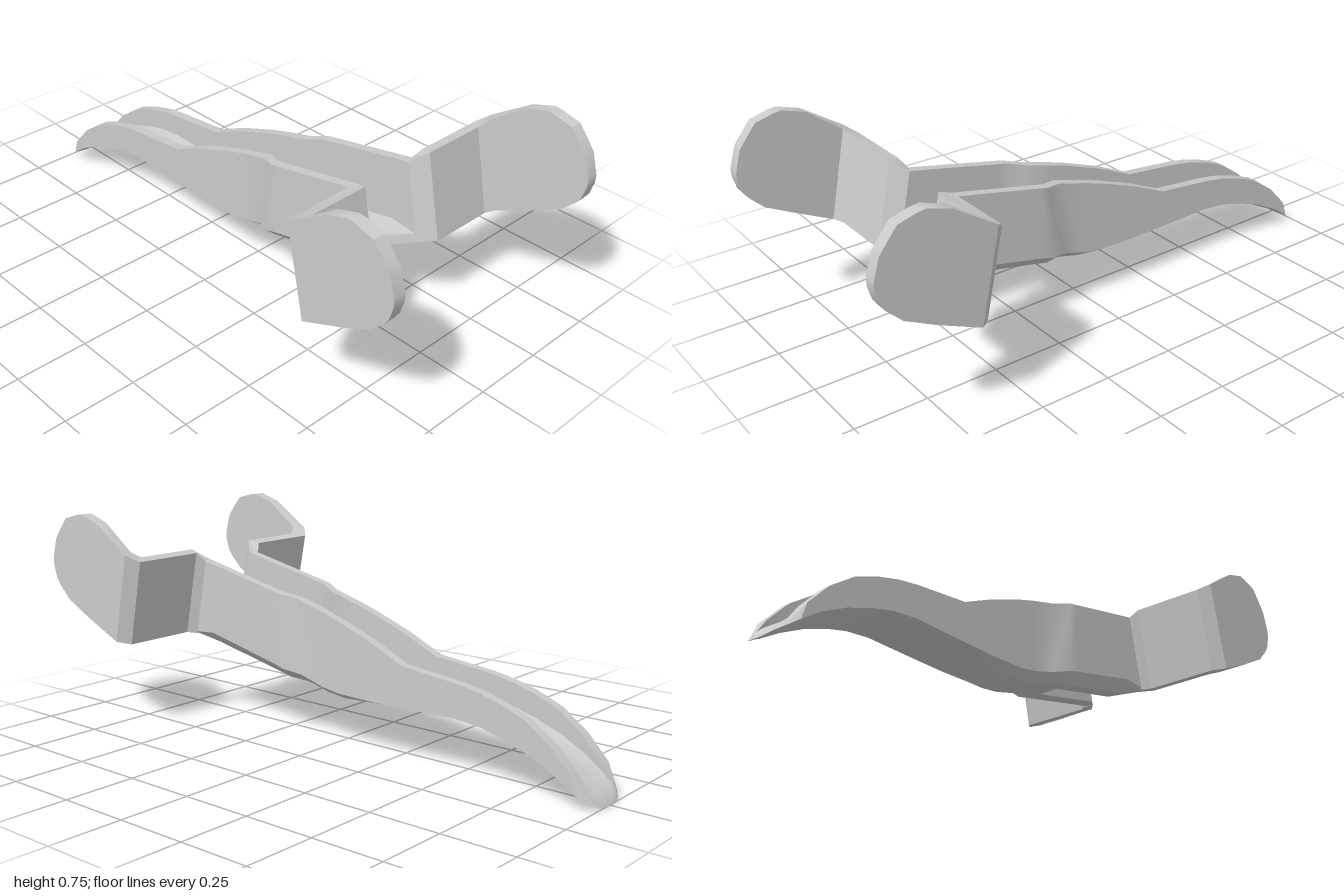
import * as THREE from 'three';
import { toCreasedNormals } from 'three/addons/utils/BufferGeometryUtils.js';

// Tilted plane of the fork: u runs forward along the slope, v is perpendicular to it.
const tilt = (u, v) => [u * 0.98 - v * 0.2, u * 0.2 + v * 0.98]; // -> [z, y]

// Skins a list of equal-length closed rings; side = -1 mirrors across x = 0.
function loft(rings, side, name, capEnd) {
  const n = rings[0].length, pos = [];
  const tri = (a, b, c) => {
    const ab = new THREE.Vector3().subVectors(b, a);
    const ac = new THREE.Vector3().subVectors(c, a);
    if (ab.cross(ac).length() < 1e-8) return;
    for (const p of side > 0 ? [a, b, c] : [a, c, b]) pos.push(p.x * side, p.y, p.z);
  };
  for (let i = 0; i < rings.length - 1; i++) {
    for (let j = 0; j < n; j++) {
      const k = (j + 1) % n;
      const a = rings[i][j], b = rings[i][k], c = rings[i + 1][k], d = rings[i + 1][j];
      if (a.x === 0 && b.x === 0 && c.x === 0 && d.x === 0) continue; // open on the centre line
      tri(a, b, c);
      tri(a, c, d);
    }
  }
  const f = n - 2, first = rings[0], last = rings[rings.length - 1];
  for (let j = 1; j < n - 1; j++) {
    const p = (f + j) % n, q = (f + j + 1) % n;
    tri(first[f], first[q], first[p]);
    if (capEnd) tri(last[f], last[p], last[q]);
  }
  const g = new THREE.BufferGeometry();
  g.setAttribute('position', new THREE.Float32BufferAttribute(pos, 3));
  const mesh = new THREE.Mesh(toCreasedNormals(g, 0.45),
    new THREE.MeshStandardMaterial({ color: 0xcccccc }));
  mesh.name = name;
  return mesh;
}

// Half of a U-channel: wall, chamfered corner and floor reaching in to x = tip.
function channelRing([b, t, W, I, c, tip]) {
  const H = Math.hypot(t[0] - b[0], t[1] - b[1]);
  const ft = Math.min(0.03, H * 0.92);
  const section = [
    [W, H], [I, H], [I, Math.min(ft + c, H)], [Math.max(tip, I - 0.03), ft],
    [tip, ft], [tip, 0], [Math.max(tip, W - 0.04), 0], [W, c],
  ];
  return section.map(([x, v]) => new THREE.Vector3(
    x, b[1] + (t[1] - b[1]) * v / H, b[0] + (t[0] - b[0]) * v / H));
}

// Stations: bottom [z, y], top [z, y], outer x, inner x, chamfer, floor tip x
const channel = [
  [[-1, 0.003], [-0.985, 0.03], 0.055, 0.045, 0.004, 0],
  [[-0.98, 0.015], [-0.965, 0.05], 0.085, 0.065, 0.006, 0],
  [[-0.955, 0.03], [-0.935, 0.095], 0.105, 0.068, 0.01, 0],
  [[-0.89, 0.07], [-0.86, 0.175], 0.105, 0.07, 0.015, 0],
  [[-0.8, 0.115], [-0.77, 0.238], 0.105, 0.072, 0.015, 0],
  [[-0.7, 0.15], [-0.68, 0.273], 0.105, 0.072, 0.015, 0],
  [[-0.61, 0.174], [-0.6, 0.295], 0.105, 0.072, 0.013, 0],
  [[-0.52, 0.184], [-0.52, 0.308], 0.105, 0.072, 0.012, 0],
  [[-0.31, 0.179], [-0.31, 0.329], 0.105, 0.072, 0.012, 0],
  [[-0.18, 0.174], [-0.18, 0.387], 0.105, 0.072, 0.015, 0],
  [[-0.04, 0.167], [-0.04, 0.438], 0.105, 0.072, 0.025, 0],
  [[0.03, 0.175], [0.03, 0.46], 0.105, 0.072, 0.028, 0],
  [[0.12, 0.197], [0.14, 0.49], 0.105, 0.072, 0.032, 0],
  [[0.18, 0.209], [0.2, 0.504], 0.132, 0.1, 0.036, 0],
  [[0.23, 0.22], [0.23, 0.51], 0.132, 0.1, 0.038, 0],
  [[0.23, 0.22], [0.23, 0.51], 0.132, 0.1, 0.038, 0.037], // slot opens
  [tilt(0.575, 0.17), tilt(0.575, 0.455), 0.132, 0.1, 0.04, 0.037],
  [tilt(0.67, 0.18), tilt(0.67, 0.455), 0.132, 0.1, 0.004, 0.1],
];

// Fork arm stations: outer x, outer u, inner x, inner u, bottom v, top v
const arm = [
  [0.132, 0.655, 0.1, 0.67, 0.18, 0.455],
  [0.157, 0.681, 0.143, 0.721, 0.18, 0.48],
  [0.415, 0.681, 0.375, 0.721, 0.18, 0.48],
  [0.45, 0.72, 0.408, 0.742, 0.182, 0.497],
  // rounded tab, running forward
  ...[
    [0.88, 0.217, 0.56], [0.963, 0.24, 0.569], [0.99, 0.247, 0.56], [1.048, 0.284, 0.531],
    [1.07, 0.305, 0.49], [1.091, 0.345, 0.446], [1.097, 0.368, 0.378],
  ].map(([u, v0, v1]) => [0.45, u, 0.408, u, v0, v1]),
];
const armRing = ([ox, ou, ix, iu, v0, v1]) =>
  [[ox, ou, v1], [ix, iu, v1], [ix, iu, v0], [ox, ou, v0]].map(([x, u, v]) => {
    const [z, y] = tilt(u, v);
    return new THREE.Vector3(x, y, z);
  });

export function createModel() {
  const model = new THREE.Group();
  model.name = 'forkedLever';
  for (const [side, label] of [[1, 'left'], [-1, 'right']]) {
    model.add(loft(channel.map(channelRing), side, label + 'ChannelHandle', false));
    model.add(loft(arm.map(armRing), side, label + 'ForkArm', true));
  }
  return model;
}
